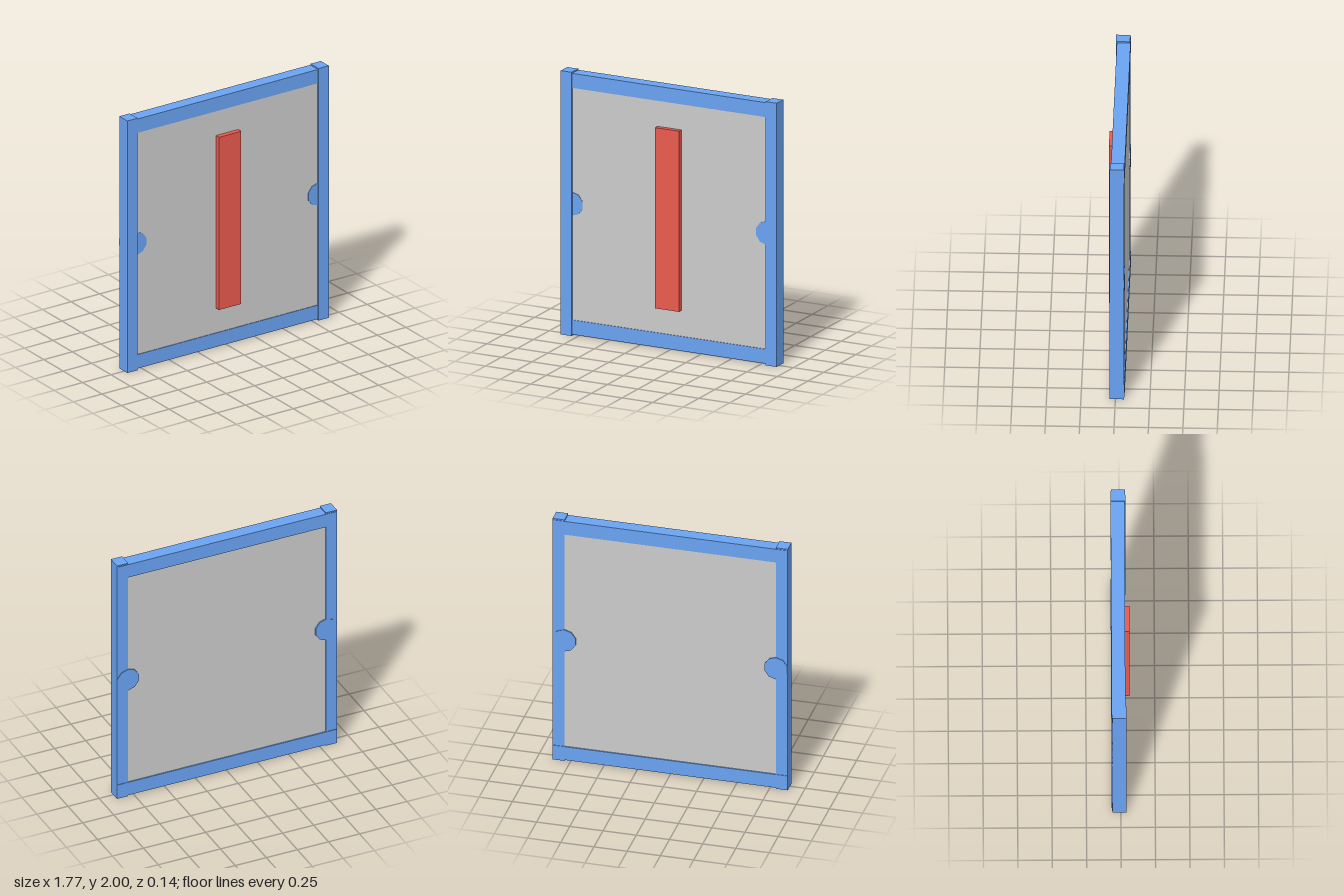
import * as THREE from 'three';

const material = (color) => new THREE.MeshStandardMaterial({ color, flatShading: true });

export function createModel() {
  const group = new THREE.Group();
  const blue = material(0x6aa3f3);
  const red = material(0xeb5a4e);
  const grey = material(0xcccccc);

  const add = (name, geometry, mat, x, y, z) => {
    const mesh = new THREE.Mesh(geometry, mat);
    mesh.name = name;
    mesh.position.set(x, y, z);
    group.add(mesh);
  };
  // Box given by its centre x, centre y, size and back/front depth
  const box = (name, mat, x, y, w, h, back, front) =>
    add(name, new THREE.BoxGeometry(w, h, front - back), mat, x, y, (back + front) / 2);

  // Panel, almost flush with the frame on both sides
  box('panel', grey, 0, 1, 1.7, 1.9, -0.057, 0.029);

  // Raised strip down the middle of the front
  box('centreStrip', red, 0, 1, 0.195, 1.37, 0.02, 0.068);

  // Top and bottom rails, set slightly further back than the stiles
  box('topRail', blue, 0, 1.935, 1.755, 0.11, -0.066, 0.034);
  box('bottomRail', blue, 0, 0.065, 1.755, 0.11, -0.066, 0.034);

  // Side stiles and the ten-sided discs set through them
  const disc = new THREE.CylinderGeometry(0.09, 0.09, 0.099, 10).rotateX(Math.PI / 2);
  for (const [side, s] of [['left', 1], ['right', -1]]) {
    box(side + 'Stile', blue, s * 0.84, 1, 0.09, 2, -0.062, 0.041);
    add(side + 'Disc', disc, blue, s * 0.797, 1, -0.0175);
  }
  return group;
}
